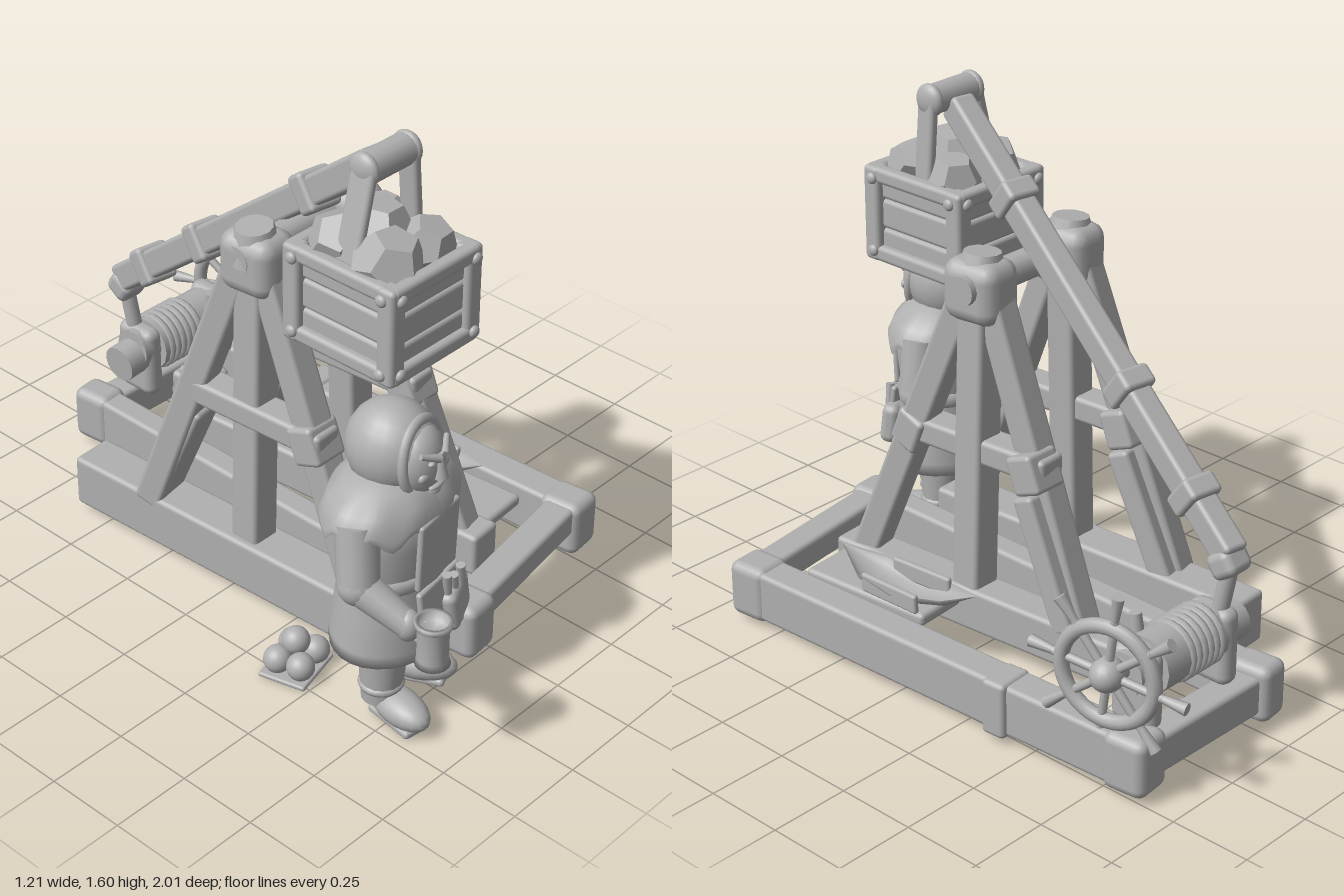
import * as THREE from 'three';
import { RoundedBoxGeometry } from 'three/addons/geometries/RoundedBoxGeometry.js';

const grey = new THREE.MeshStandardMaterial({ color: 0xb0b0b0, side: THREE.DoubleSide });
grey.name = 'plain grey';

export function createModel() {
  const root = new THREE.Group();
  root.name = 'trebuchet';
  const V = (p) => new THREE.Vector3(...p);
  const UP = new THREE.Vector3(0, 1, 0);

  // ---- helpers ----
  const group = (name, parent = root) => {
    const g = new THREE.Group();
    g.name = name;
    parent.add(g);
    return g;
  };
  const add = (parent, name, geo, pos = [0, 0, 0], rot = [0, 0, 0], scale = [1, 1, 1]) => {
    const m = new THREE.Mesh(geo, grey);
    m.name = name;
    m.position.set(...pos);
    m.rotation.set(...rot);
    m.scale.set(...scale);
    parent.add(m);
    return m;
  };
  const box = (parent, name, size, pos, rot, r = 0.015) =>
    add(parent, name, new RoundedBoxGeometry(...size, 2, Math.min(r, ...size.map((s) => s * 0.45))), pos, rot);
  const ball = (parent, name, radii, pos, rot) =>
    add(parent, name, new THREE.SphereGeometry(1, 20, 14), pos, rot, radii);
  // square timber from a to b, in the parent's frame
  const beam = (parent, name, a, b, w, h = w) => {
    const m = box(parent, name, [w, h, V(a).distanceTo(V(b))], V(a).lerp(V(b), 0.5).toArray());
    m.quaternion.setFromRotationMatrix(new THREE.Matrix4().lookAt(V(b), V(a), UP));
    return m;
  };
  // tapered round bar from a to b
  const rod = (parent, name, a, b, r0, r1 = r0, sides = 14) => {
    const d = V(b).sub(V(a));
    const m = add(parent, name, new THREE.CylinderGeometry(r1, r0, d.length(), sides), V(a).lerp(V(b), 0.5).toArray());
    m.quaternion.setFromUnitVectors(UP, d.normalize());
    return m;
  };
  const lathe = (pts, n = 28, sweep = Math.PI * 2) =>
    new THREE.LatheGeometry(pts.map((p) => new THREE.Vector2(...p)), n, 0, sweep);

  // ---- ground frame ----
  const base = group('groundFrame');
  const corners = [[-0.06, 0.11, 0.7], [0.53, 0.11, 0.61], [0.465, 0.11, -0.83], [-0.05, 0.11, -0.84]];
  beam(base, 'rightSideBeam', corners[0], corners[3], 0.085, 0.16);
  beam(base, 'leftSideBeam', corners[1], corners[2], 0.11, 0.16);
  beam(base, 'frontCrossBeam', [-0.06, 0.145, 0.7], [0.53, 0.145, 0.61], 0.1, 0.09);
  beam(base, 'backCrossBeam', corners[3], corners[2], 0.1, 0.12);
  corners.forEach((c, i) => box(base, 'cornerCap', [i === 3 ? 0.11 : 0.13, 0.18, 0.14], c, [0, 0.1, 0], 0.03));
  box(base, 'beamJoint', [0.125, 0.175, 0.08], [0.495, 0.11, -0.38], [0, 0.07, 0]);

  // ---- pair of A-shaped towers: x of the apex, sill back, sill front; sill size and height ----
  for (const [name, ax, bx, fx, w, h] of [
    ['leftTower', 0.138, 0.125, 0.215, 0.115, 0.14], ['rightTower', -0.233, -0.295, -0.235, 0.14, 0.17]]) {
    const t = group(name);
    const sillX = (z) => bx + ((fx - bx) * (z + 0.62)) / 1.17;
    const mid = (z) => (ax + sillX(z)) / 2;
    beam(t, 'towerSill', [bx, 0.2 - h / 2, -0.62], [fx, 0.2 - h / 2, 0.55], w, h);
    beam(t, 'centrePost', [sillX(0.05), 0.1, 0.05], [ax, 1.12, 0.05], 0.1);
    beam(t, 'frontLeg', [sillX(0.46), 0.17, 0.46], [ax, 1.12, 0.09], 0.09);
    beam(t, 'backLeg', [sillX(-0.33) - 0.03, 0.17, -0.325], [ax - 0.01, 1.12, 0.01], 0.09);
    beam(t, 'crossRail', [mid(0.33), 0.64, 0.33], [mid(-0.22) - 0.02, 0.64, -0.22], 0.1, 0.08);
    beam(t, 'backBrace', [mid(-0.17), 0.56, -0.165], [sillX(-0.33), 0.17, -0.325], 0.12, 0.075);
    for (const [z, s] of [[0.28, 1], [-0.17, -1]])
      box(t, 'railCollar', [0.12, 0.12, 0.1], [mid(z), 0.63, z], [-0.38 * s, 0, 0]);
    box(t, 'towerCap', [0.155, 0.19, 0.19], [ax, 1.13, 0.05], [0, 0.1, 0], 0.05);
    rod(t, 'capPeak', [ax, 1.14, 0.05], [ax - 0.01, 1.24, 0.05], 0.085, 0.055, 12);
  }
  rod(root, 'pivotAxle', [-0.31, 1.15, 0.04], [0.23, 1.15, 0.04], 0.045);

  // ---- throwing arm ----
  const arm = group('throwingArm');
  const a0 = [-0.13, 1.53, 0.4], a1 = [0.07, 0.57, -0.83];
  const along = (t) => V(a0).lerp(V(a1), t);
  beam(arm, 'armBeam', a0, a1, 0.08, 0.09);
  for (const t of [0.22, 0.64, 0.87])
    beam(arm, 'armBand', along(t - 0.022).toArray(), along(t + 0.022).toArray(), 0.11, 0.12);
  rod(arm, 'hangerPin', [-0.22, 1.55, 0.43], [-0.05, 1.55, 0.43], 0.046);
  box(arm, 'armTip', [0.1, 0.08, 0.09], [0.07, 0.55, -0.82], [0.6, 0, 0], 0.025);
  rod(arm, 'tipHook', [0.07, 0.56, -0.83], [0.08, 0.38, -0.8], 0.025);

  // ---- counterweight crate ----
  const crate = group('counterweight');
  crate.position.set(-0.165, 1.167, 0.45);
  for (const s of [-1, 1]) {
    beam(crate, 'hangerStrap', [0.03 + s * 0.085, 0.4, -0.015], [s * 0.135, 0.1, -0.01], 0.08, 0.03);
    ball(crate, 'strapKnob', [0.025, 0.05, 0.05], [0.03 + s * 0.085, 0.383, -0.02]);
    for (let i = 0; i < 3; i++) {
      box(crate, 'frontPlank', [0.32, 0.092, 0.03], [0, -0.093 + i * 0.093, s * 0.165]);
      box(crate, 'sidePlank', [0.03, 0.092, 0.32], [s * 0.145, -0.093 + i * 0.093, 0]);
    }
    for (const y of [-0.125, 0.125]) {
      box(crate, 'frontRail', [0.35, 0.05, 0.045], [0, y, s * 0.18]);
      box(crate, 'sideRail', [0.045, 0.05, 0.38], [s * 0.16, y, 0]);
    }
    for (const u of [-1, 1]) {
      box(crate, 'cornerPost', [0.06, 0.3, 0.06], [s * 0.155, 0, u * 0.17]);
      for (const y of [-0.115, 0.115]) {
        ball(crate, 'rivet', [0.018, 0.018, 0.012], [s * 0.15, y, u * 0.204]);
        ball(crate, 'rivet', [0.012, 0.018, 0.018], [s * 0.186, y, u * 0.16]);
      }
    }
  }
  box(crate, 'crateFloor', [0.3, 0.03, 0.34], [0, -0.13, 0]);
  for (const [x, y, z, r] of [[-0.07, 0.15, 0.08, 0.1], [0.07, 0.15, 0.09, 0.085], [0, 0.18, -0.02, 0.1],
    [-0.07, 0.15, -0.09, 0.095], [0.08, 0.15, -0.08, 0.085]])
    add(crate, 'stone', new THREE.DodecahedronGeometry(r, 0), [x, y, z], [x * 9, z * 12, y * 5], [1, 0.95, 1.05]);

  // ---- windlass and hand wheel ----
  const winch = group('windlass');
  rod(winch, 'winchShaft', [0.05, 0.34, -0.77], [0.54, 0.36, -0.76], 0.03);
  rod(winch, 'shaftEnd', [-0.025, 0.31, -0.77], [0.1, 0.32, -0.77], 0.06);
  rod(winch, 'ropeDrum', [0.1, 0.33, -0.77], [0.36, 0.33, -0.77], 0.088);
  for (let x = 0.13; x < 0.28; x += 0.025)
    add(winch, 'ropeCoil', new THREE.TorusGeometry(0.084, 0.012, 6, 20), [x, 0.33, -0.77], [0, Math.PI / 2, 0]);
  for (const x of [0.08, 0.4]) {
    box(winch, 'winchBearing', [0.07, 0.24, 0.15], [x, 0.29, -0.78], [0, 0, 0], 0.03);
    rod(winch, 'bearingFlange', [x - 0.045, 0.34, -0.77], [x + 0.045, 0.34, -0.77], 0.065);
  }
  rod(winch, 'ratchetPeg', [0.32, 0.3, -0.72], [0.32, 0.45, -0.7], 0.025, 0.018);
  const wheel = group('handWheel', winch);
  wheel.position.set(0.5, 0.36, -0.76);
  wheel.rotation.set(0, 0.19, 0);
  add(wheel, 'wheelRim', new THREE.TorusGeometry(0.145, 0.022, 10, 36), [0, 0, 0], [0, Math.PI / 2, 0]);
  ball(wheel, 'wheelHub', [0.055, 0.05, 0.05], [0, 0, 0]);
  for (let i = 0; i < 8; i++) {
    const a = (i * Math.PI) / 4 + 0.12;
    const p = (r) => [0, Math.sin(a) * r, Math.cos(a) * r];
    rod(wheel, 'wheelSpoke', p(0.03), p(0.17), 0.013, 0.013, 8);
    rod(wheel, 'wheelHandle', p(0.165), p(0.245), 0.011, 0.019, 8);
  }

  // ---- open leaf-shaped sling pouch with upturned ends, on its plank ----
  const sling = group('sling');
  box(sling, 'slingPlank', [0.18, 0.04, 0.46], [0.34, 0.16, 0.27], [0, 0.08, 0]);
  const pouch = lathe([[0, -0.26], [0.05, -0.16], [0.085, 0], [0.07, 0.14], [0, 0.26]], 10, Math.PI);
  pouch.rotateX(Math.PI / 2).rotateZ(-Math.PI / 2);
  const pp = pouch.attributes.position;
  for (let i = 0; i < pp.count; i++) pp.setY(i, pp.getY(i) * 0.6 + pp.getZ(i) ** 2 * 0.7);
  pouch.computeVertexNormals();
  add(sling, 'slingPouch', pouch, [0.36, 0.23, 0.14], [0, 0.08, 0]);
  for (const s of [-1, 1])
    beam(sling, 'pouchFlap', [0.365 + s * 0.07, 0.23, 0.03], [0.365 + s * 0.065, 0.22, 0.26], 0.02, 0.06);

  // ---- pile of shot ----
  const shot = group('shotPile');
  shot.position.set(-0.45, 0, 0.4);
  shot.rotation.y = 0.25;
  box(shot, 'shotTray', [0.18, 0.015, 0.15], [0, 0.008, 0]);
  for (const [x, y, z] of [[-0.045, 0.05, -0.035], [0.045, 0.05, -0.035], [-0.045, 0.05, 0.04], [0.045, 0.05, 0.04], [0, 0.1, 0]])
    ball(shot, 'shotBall', [0.042, 0.042, 0.042], [x, y, z]);

  // ---- stocky engineer ----
  const man = group('engineer');
  man.position.set(-0.34, 0, 0.66);
  man.rotation.y = 0.15;
  const tunic = [[0.0, 0.26], [0.17, 0.25], [0.2, 0.23], [0.2, 0.27], [0.185, 0.37], [0.17, 0.47], [0.172, 0.5], [0.185, 0.6], [0.18, 0.69], [0.1, 0.77], [0, 0.78]];
  add(man, 'tunic', lathe(tunic), [0, 0, 0], [0, 0, 0], [1, 1, 0.8]);
  add(man, 'belt', new THREE.TorusGeometry(0.168, 0.018, 8, 32), [0, 0.48, 0], [Math.PI / 2, 0, 0], [1, 0.8, 1.4]);
  // shoulder cape with a scalloped hem
  const cape = lathe([[0.1, 0.79], [0.16, 0.775], [0.215, 0.735], [0.24, 0.68], [0.235, 0.655]], 56);
  const cp = cape.attributes.position;
  for (let i = 0; i < cp.count; i++) {
    const y = cp.getY(i), low = Math.max(0, (0.74 - y) / 0.085);
    cp.setY(i, y + low * 0.022 * Math.sin(Math.atan2(cp.getZ(i), cp.getX(i)) * 10));
  }
  cape.computeVertexNormals();
  add(man, 'shoulderCape', cape, [0, 0, -0.01], [0, 0, 0], [1, 1, 0.7]);
  box(man, 'apronBib', [0.19, 0.22, 0.02], [0.0, 0.58, 0.142], [0.03, 0, 0]);
  box(man, 'apronSkirt', [0.2, 0.2, 0.02], [0.01, 0.36, 0.153], [-0.13, 0, 0]);
  box(man, 'toolPouch', [0.15, 0.13, 0.06], [0.085, 0.34, 0.15], [-0.1, 0.3, 0.1], 0.025);
  for (const [x, h] of [[0.04, 0.47], [0.075, 0.45], [0.11, 0.46]])
    rod(man, 'tool', [x, 0.36, 0.16], [x - 0.02, h, 0.165], 0.011, 0.014, 8);

  // head, hood and face
  const head = group('head', man);
  head.position.set(0.01, 0.84, 0.0);
  ball(head, 'hood', [0.125, 0.138, 0.132], [0, 0, -0.015]);
  ball(head, 'hoodNeck', [0.12, 0.09, 0.11], [0, -0.08, -0.01]);
  ball(head, 'face', [0.085, 0.108, 0.07], [0, -0.015, 0.07]);
  add(head, 'hoodRim', new THREE.TorusGeometry(0.09, 0.015, 8, 32), [0, -0.005, 0.076], [-0.1, 0, 0], [1, 1.2, 1]);
  rod(head, 'nose', [0, -0.045, 0.14], [0, 0.03, 0.135], 0.022, 0.009);
  ball(head, 'mouth', [0.035, 0.009, 0.015], [0, -0.072, 0.128]);
  ball(head, 'chin', [0.04, 0.03, 0.03], [0, -0.1, 0.105]);
  for (const s of [-1, 1]) {
    rod(head, 'brow', [s * 0.012, 0.022, 0.143], [s * 0.065, 0.045, 0.115], 0.012, 0.008);
    ball(head, 'eye', [0.013, 0.008, 0.01], [s * 0.034, 0.012, 0.132]);
    ball(head, 'cheek', [0.025, 0.018, 0.014], [s * 0.045, -0.03, 0.117]);
  }

  // arms: right holds the mug, left hangs
  const limbs = [
    ['rightArm', [-0.18, 0.7, 0], [-0.215, 0.53, 0.03], [-0.2, 0.45, 0.18]],
    ['leftArm', [0.18, 0.7, -0.03], [0.215, 0.53, -0.04], [0.22, 0.4, -0.01]],
  ];
  for (const [name, s, e, h] of limbs) {
    const g = group(name, man);
    rod(g, 'upperSleeve', s, e, 0.062, 0.06);
    ball(g, 'elbow', [0.06, 0.06, 0.06], e);
    rod(g, 'foreSleeve', e, h, 0.056, 0.04);
    ball(g, 'hand', [0.038, 0.048, 0.038], h);
  }
  for (let i = 0; i < 3; i++)
    rod(man, 'finger', [0.22, 0.38, 0.015 - i * 0.022], [0.2, 0.325, 0.025 - i * 0.022], 0.013, 0.01, 8);
  const mug = group('mug', man);
  mug.position.set(-0.21, 0.44, 0.265);
  add(mug, 'mugBody', lathe([[0, -0.07], [0.05, -0.07], [0.044, -0.05], [0.044, 0.05], [0.053, 0.055], [0.053, 0.07], [0.042, 0.07], [0.04, 0.04], [0, 0.04]], 20));
  add(mug, 'mugHandle', new THREE.TorusGeometry(0.035, 0.011, 8, 18), [0.02, 0, -0.05], [0, Math.PI / 2, 0]);

  // legs and boots
  for (const s of [-1, 1]) {
    const x = s * 0.09, z = s > 0 ? -0.03 : 0.03;
    rod(man, 'leg', [x, 0.06, z], [x * 0.95, 0.28, z], 0.058, 0.075);
    add(man, 'bootCuff', new THREE.TorusGeometry(0.053, 0.014, 8, 20), [x, 0.11, z], [Math.PI / 2, 0, 0]);
    ball(man, 'boot', [0.06, 0.05, 0.11], [x * 1.1, 0.055, z + 0.07], [0, s * 0.3, 0]);
    box(man, 'bootSole', [0.09, 0.025, 0.17], [x * 1.1, 0.018, z + 0.065], [0, s * 0.3, 0], 0.012);
  }
  return root;
}
